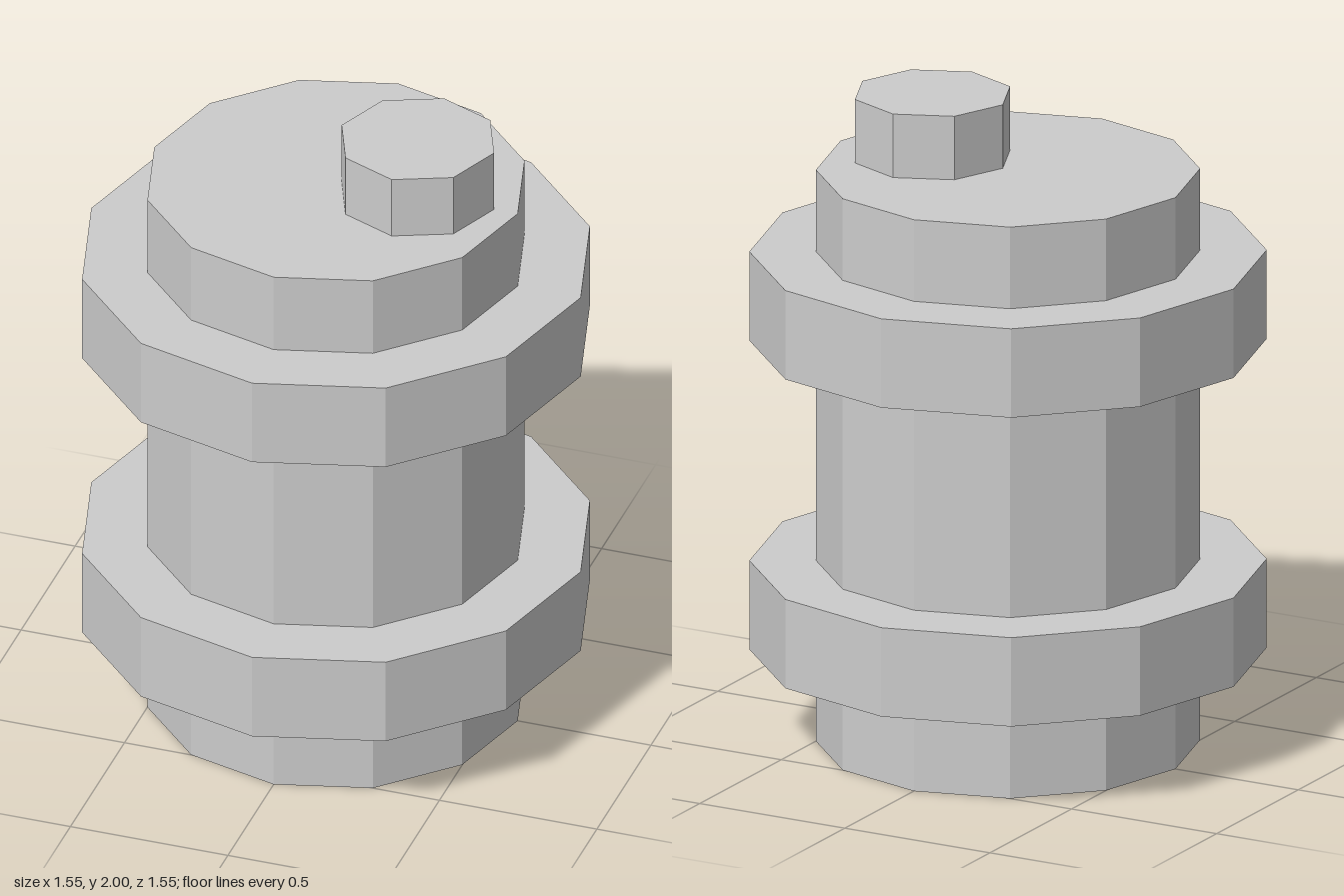
import * as THREE from 'three';

export function createModel() {
  const model = new THREE.Group();
  const material = new THREE.MeshStandardMaterial({ color: 0xcccccc, flatShading: true });

  // Upright faceted drum spanning bottom..top
  const addDrum = (name, radius, bottom, top, sides, x = 0) => {
    const geometry = new THREE.CylinderGeometry(radius, radius, top - bottom, sides);
    const mesh = new THREE.Mesh(geometry, material);
    mesh.name = name;
    mesh.position.set(x, (bottom + top) / 2, 0);
    model.add(mesh);
  };

  // Barrel body
  addDrum('barrelBody', 0.577, 0, 1.8, 12);

  // Two raised hoops
  addDrum('lowerHoop', 0.777, 0.29, 0.57, 12);
  addDrum('upperHoop', 0.777, 1.263, 1.543, 12);

  // Off-centre filler cap
  addDrum('fillerCap', 0.242, 1.8, 2, 8, 0.26);

  return model;
}
